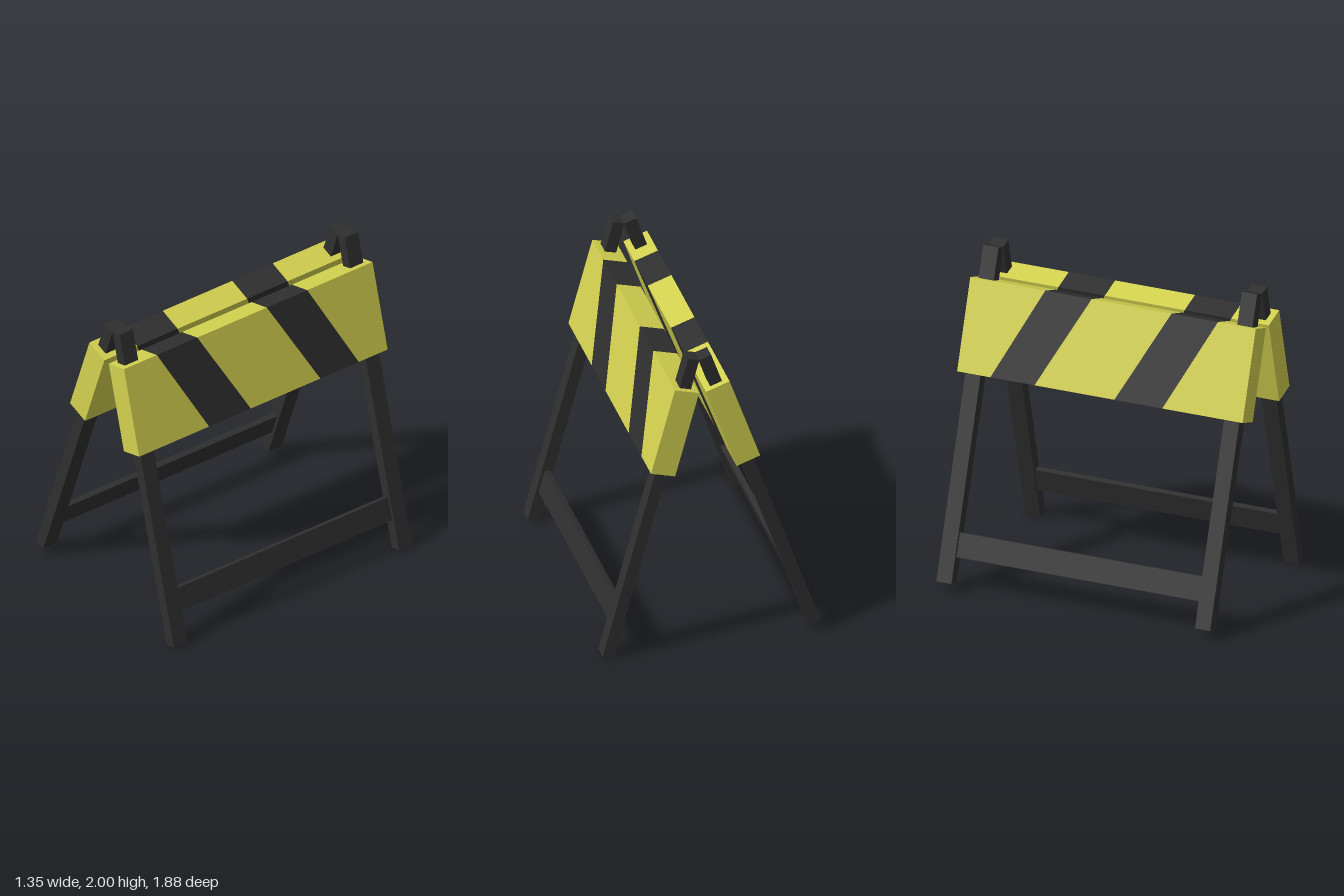
import * as THREE from 'three';

const yellow = new THREE.MeshStandardMaterial({ color: 0xd3d14f });
yellow.name = 'safety yellow';
const black = new THREE.MeshStandardMaterial({ color: 0x2f2f2f });
black.name = 'charcoal black';

function box(name, w, h, d, x, y, z, material) {
  const mesh = new THREE.Mesh(new THREE.BoxGeometry(w, h, d), material);
  mesh.name = name;
  mesh.position.set(x, y, z);
  return mesh;
}

// One board segment: a box whose ends slant between the cuts [topZ, bottomZ].
function segment(name, thickness, height, back, front, material) {
  const geo = new THREE.BoxGeometry(thickness, height, 1);
  const p = geo.attributes.position;
  for (let i = 0; i < p.count; i++) {
    const cut = p.getZ(i) > 0 ? front : back;
    p.setZ(i, p.getY(i) > 0 ? cut[0] : cut[1]);
  }
  geo.computeVertexNormals();
  const mesh = new THREE.Mesh(geo, material);
  mesh.name = name;
  return mesh;
}

// Striped board, cut into alternating yellow and black segments along z.
function board(thickness, height) {
  const group = new THREE.Group();
  group.name = 'stripedBoard';
  const cuts = [
    [-0.938, -0.938], [-0.445, -0.72], [-0.14, -0.43],
    [0.385, 0.095], [0.69, 0.41], [0.938, 0.938],
  ];
  for (let i = 0; i < cuts.length - 1; i++) {
    const dark = i % 2 === 1;
    group.add(segment(dark ? 'blackStripe' : 'yellowPanel', thickness, height,
      cuts[i], cuts[i + 1], dark ? black : yellow));
  }
  return group;
}

// A leaning frame: two legs, a low crossbar and a board, built upright from its foot.
function frame({ name, foot, top, legWidth, barY }) {
  const group = new THREE.Group();
  group.name = name;
  const dx = top[0] - foot[0];
  const dy = top[1] - foot[1];
  const length = Math.hypot(dx, dy);
  for (const side of [1, -1]) {
    group.add(box(side > 0 ? 'frontLeg' : 'backLeg',
      legWidth, length, 0.1, 0, length / 2, side * 0.85, black));
  }
  group.add(box('crossbar', 0.036, 0.15, 1.62, 0, barY, 0, black));
  const panel = board(0.155, 0.572);
  panel.position.y = 1.556;
  group.add(panel);
  group.position.set(foot[0], foot[1], 0);
  group.rotation.z = -Math.atan2(dx, dy);
  return group;
}

export function createModel() {
  const model = new THREE.Group();
  model.name = 'foldingBarricade';
  model.add(
    frame({ name: 'rightFrame', foot: [-0.643, 0.06], top: [0.035, 1.987], legWidth: 0.077, barY: 0.238 }),
    frame({ name: 'leftFrame', foot: [0.637, 0.012], top: [0.107, 1.985], legWidth: 0.072, barY: 0.268 }),
  );
  return model;
}
